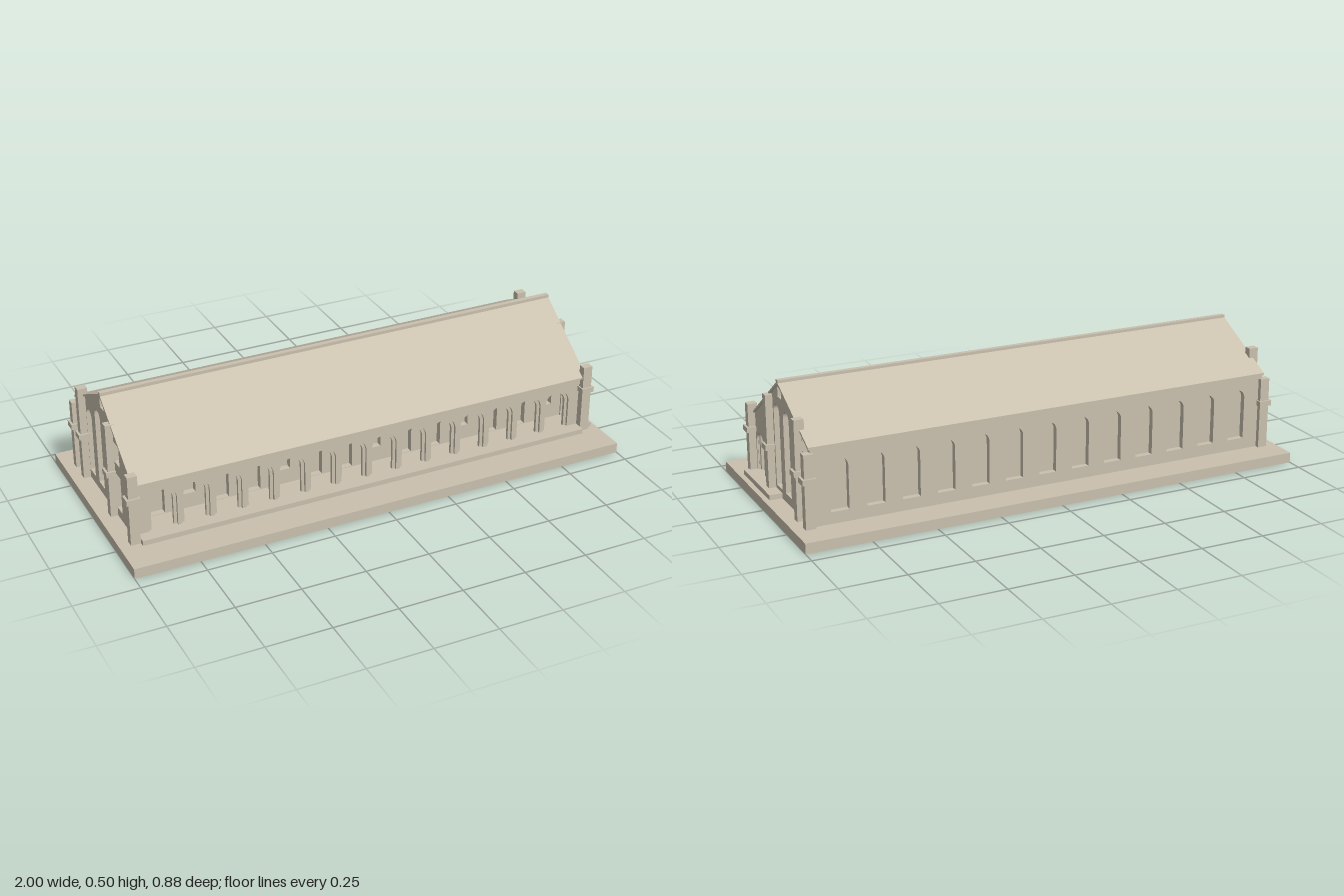
import * as THREE from 'three';

export function createModel() {
  const root = new THREE.Group();
  const stone = new THREE.MeshStandardMaterial({ color: 0xc9c0ae });
  stone.name = 'pale stone';

  const add = (name, geo) => {
    const m = new THREE.Mesh(geo, stone);
    m.name = name;
    root.add(m);
    return m;
  };
  // Box given by its limits on each axis
  const box = (name, x0, x1, y0, y1, z0, z1) => {
    const m = add(name, new THREE.BoxGeometry(x1 - x0, y1 - y0, z1 - z0));
    m.position.set((x0 + x1) / 2, (y0 + y1) / 2, (z0 + z1) / 2);
    return m;
  };
  const polygon = (pts) => new THREE.Shape(pts.map(([x, y]) => new THREE.Vector2(x, y)));
  const rect = (x0, x1, y0, y1) => polygon([[x0, y0], [x1, y0], [x1, y1], [x0, y1]]);
  // Round-headed opening
  const arch = (cx, w, y0, top) => {
    const r = w / 2, s = new THREE.Shape();
    s.moveTo(cx - r, y0);
    s.lineTo(cx + r, y0);
    s.lineTo(cx + r, top - r);
    s.absarc(cx, top - r, r, 0, Math.PI, false);
    s.closePath();
    return s;
  };
  const extrude = (shape, depth) =>
    new THREE.ExtrudeGeometry(shape, { depth, bevelEnabled: false, curveSegments: 12 });
  // Wall facing along z
  const wallZ = (name, shape, holes, z0, z1) => {
    shape.holes.push(...holes);
    add(name, extrude(shape, z1 - z0)).position.z = z0;
  };
  // Profile in (z, y), swept along x
  const sweepX = (name, pts, holes, x0, x1) => {
    const shape = polygon(pts.map(([z, y]) => [-z, y]));
    shape.holes.push(...holes);
    const m = add(name, extrude(shape, x1 - x0));
    m.rotation.y = Math.PI / 2;
    m.position.x = x0;
  };

  // Ground slab and steps
  box('baseSlab', -1, 1, 0, 0.04, -0.44, 0.44);
  box('frontStep', -0.92, 0.92, 0.04, 0.06, 0.15, 0.315);
  box('sideStep', 0.9, 0.98, 0.04, 0.06, -0.012, 0.28);

  // Inner hall with the ceiling over the arcade passage
  sweepX('hallCore', [[0.15, 0.04], [0.15, 0.238], [0.25, 0.238], [0.25, 0.285],
    [-0.023, 0.48], [-0.295, 0.34], [-0.295, 0.04]], [], -0.9, 0.9);

  // Front arcade: outer arches with a narrower ring set behind
  const bays = Array.from({ length: 14 }, (_, i) => (i - 6.5) * 0.1263);
  wallZ('arcadeFront', rect(-0.925, 0.925, 0.05, 0.275), bays.map((x) => arch(x, 0.11, 0.06, 0.228)), 0.257, 0.267);
  wallZ('arcadeInnerArches', rect(-0.92, 0.92, 0.05, 0.275), bays.map((x) => arch(x, 0.086, 0.06, 0.215)), 0.245, 0.257);
  box('arcadeFrieze', -0.92, 0.92, 0.24, 0.27, 0.265, 0.273);

  // Passage wall with doors and windows
  wallZ('passageWall', rect(-0.9, 0.9, 0.05, 0.24), bays.map((x, i) =>
    (i % 3 === 1 ? rect(x - 0.035, x + 0.035, 0.12, 0.192) : rect(x - 0.04, x + 0.04, 0.062, 0.192))), 0.15, 0.175);

  // Back wall with tall niches
  const niches = Array.from({ length: 13 }, (_, i) => arch((i - 6) * 0.137, 0.07, 0.085, 0.285));
  wallZ('backWall', rect(-0.925, 0.925, 0.04, 0.335), niches, -0.318, -0.294);
  box('backCornice', -0.93, 0.93, 0.32, 0.34, -0.324, -0.31);

  // Gable walls and their pilasters
  const gable = [[0.266, 0.04], [0.266, 0.28], [-0.023, 0.484], [-0.317, 0.335], [-0.317, 0.04]];
  const gableHoles = () => [
    arch(-0.22, 0.078, 0.06, 0.215),
    arch(-0.015, 0.06, 0.075, 0.395), arch(0.085, 0.06, 0.075, 0.395), arch(0.185, 0.06, 0.075, 0.348),
    rect(-0.137, -0.083, 0.27, 0.352), rect(-0.137, -0.083, 0.075, 0.224),
    rect(0.248, 0.302, 0.27, 0.352), rect(0.248, 0.302, 0.075, 0.224),
    rect(0.006, 0.043, 0.43, 0.467),
  ];
  const pilasters = [[0.28, 0.32], [0.069, 0.42], [-0.232, 0.42], [-0.32, 0.32]];
  for (const s of [-1, 1]) {
    const side = s > 0 ? 'left' : 'right';
    const span = (a, b) => (s > 0 ? [a, b] : [-b, -a]);
    sweepX(side + 'Gable', gable, gableHoles(), ...span(0.899, 0.93));
    for (const [z, top] of pilasters) {
      box(side + 'Pilaster', ...span(0.92, 0.958), 0.04, top, z - 0.015, z + 0.015);
      box(side + 'PilasterBand', ...span(0.915, 0.967), 0.21, 0.231, z - 0.022, z + 0.022);
    }
  }

  // Pitched roof and ridge cap
  sweepX('roof', [[0.288, 0.268], [0.288, 0.276], [-0.023, 0.494], [-0.326, 0.342], [-0.326, 0.332], [-0.023, 0.484]],
    [], -0.937, 0.937);
  box('ridgeCap', -0.937, 0.937, 0.482, 0.5, -0.033, -0.014);

  return root;
}
